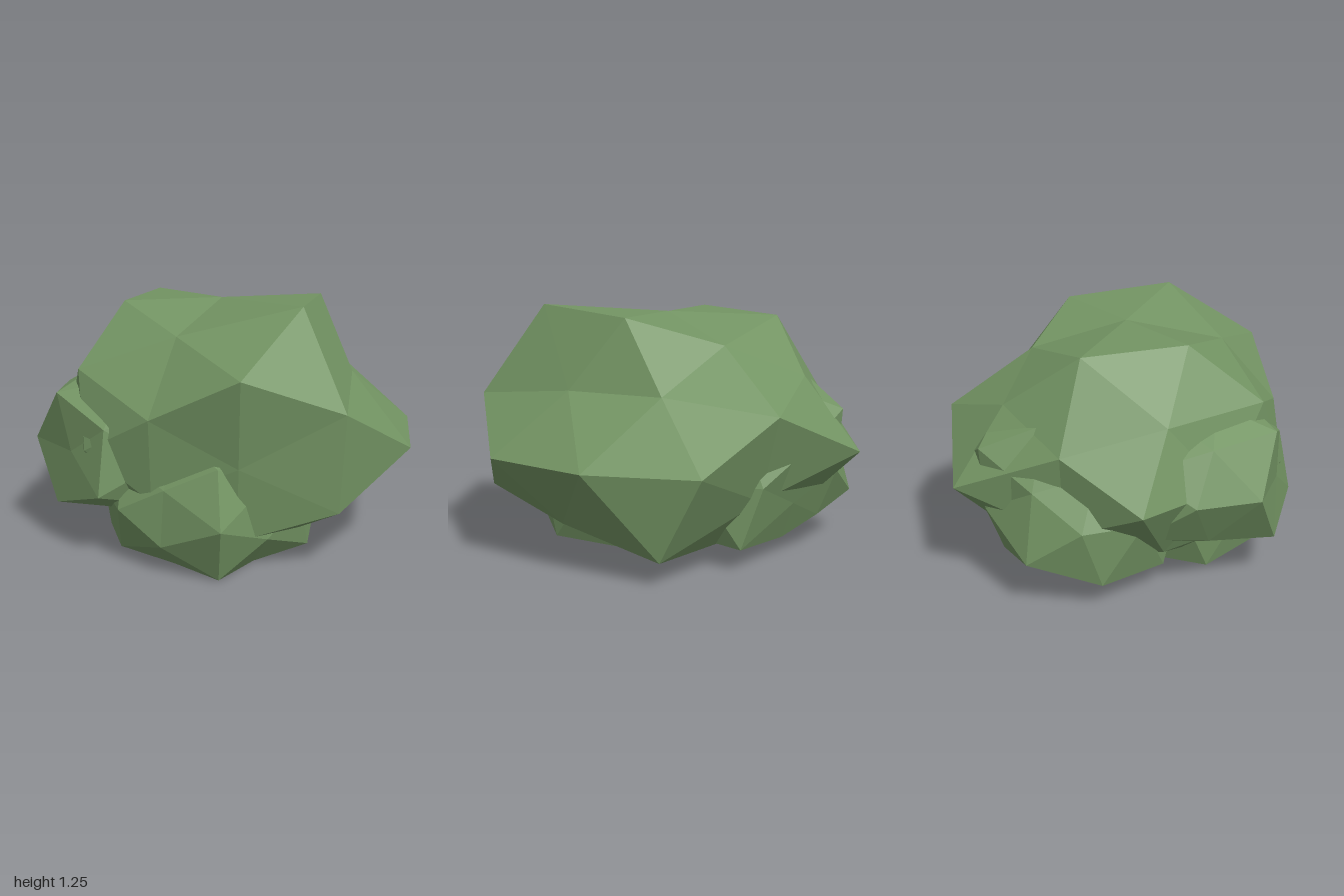
import * as THREE from 'three';

const leafGreen = new THREE.MeshStandardMaterial({ color: 0x739463, flatShading: true });
leafGreen.name = 'leafGreen';

// A faceted clump: a stretched icosphere with single corners pushed in or out and a flat base.
// Each bump is [direction x, y, z, factor].
function clump(name, centre, radii, floor, bumps) {
  const geo = new THREE.IcosahedronGeometry(1, 1);
  const pos = geo.attributes.position;
  const v = new THREE.Vector3(), d = new THREE.Vector3();
  const c = new THREE.Vector3(...centre), r = new THREE.Vector3(...radii);
  for (let i = 0; i < pos.count; i++) {
    v.fromBufferAttribute(pos, i).normalize();
    const bump = bumps.find(([x, y, z]) => d.set(x, y, z).normalize().dot(v) > 0.97);
    v.multiplyScalar(bump ? bump[3] : 1).multiply(r).add(c);
    pos.setXYZ(i, v.x, Math.max(v.y, floor), v.z);
  }
  geo.computeVertexNormals();
  const mesh = new THREE.Mesh(geo, leafGreen);
  mesh.name = name;
  return mesh;
}

export function createModel() {
  const bush = new THREE.Group();
  bush.name = 'bush';

  // Large crown
  bush.add(clump('mainClump', [-0.015, 0.54, 0.05], [1, 0.81, 1.03], 0.12, [
    [0, 1, 0, 0.82], [0.53, 0.85, 0, 0.98], [-0.53, 0.85, 0, 0.95],
    [0.81, 0.5, 0.31, 0.79], [0.81, 0.5, -0.31, 0.79],
    [0.31, 0.81, 0.5, 1.08], [0.31, 0.81, -0.5, 0.81],
    [-0.31, 0.81, 0.5, 0.84], [-0.31, 0.81, -0.5, 0.97],
    [0, 0.53, 0.85, 1.02], [0, 0.53, -0.85, 0.86],
    [0.5, 0.31, -0.81, 0.94], [-0.5, 0.31, 0.81, 0.82], [-0.5, 0.31, -0.81, 0.86],
    [-0.81, 0.5, 0.31, 0.91], [-0.81, 0.5, -0.31, 0.84],
    [0.85, 0, 0.53, 1.03], [0.85, 0, -0.53, 1.03],
    [-1, 0, 0, 0.8], [-0.85, 0, 0.53, 0.84], [-0.85, 0, -0.53, 0.97],
    [0, 0, 1, 0.8], [0, 0, -1, 1.02],
    [0.81, -0.5, -0.31, 1.07], [0.81, -0.5, 0.31, 0.85],
    [0.5, -0.31, 0.81, 0.96], [0.5, -0.31, -0.81, 0.8],
    [-0.5, -0.31, 0.81, 0.8], [-0.5, -0.31, -0.81, 0.82],
    [0, -0.53, 0.85, 0.88], [0, -0.53, -0.85, 0.8],
    [-0.81, -0.5, 0.31, 0.8], [-0.81, -0.5, -0.31, 0.8],
  ]));

  // Clump on the right side
  bush.add(clump('sideClump', [-0.36, 0.51, 0.14], [0.62, 0.56, 0.62], 0.22, [
    [-0.81, 0.5, -0.31, 0.9], [-0.53, 0.85, 0, 0.82],
    [-0.31, 0.81, 0.5, 0.8], [-0.31, 0.81, -0.5, 0.8],
    [-0.85, 0, 0.53, 0.83], [-0.85, 0, -0.53, 0.95],
    [-0.5, 0.31, 0.81, 0.88], [-0.5, -0.31, 0.81, 0.99],
    [-0.81, -0.5, 0.31, 1.03], [-0.81, -0.5, -0.31, 0.85],
    [0, 0.53, 0.85, 0.8], [0, 0, 1, 0.8], [0, -0.53, 0.85, 0.8],
  ]));

  // Low clump at the front
  bush.add(clump('frontClump', [-0.11, 0.28, 0.33], [0.62, 0.53, 0.67], 0, [
    [0, 0.53, 0.85, 0.93], [0.5, 0.31, 0.81, 0.75], [-0.5, 0.31, 0.81, 0.8],
    [0.31, 0.81, 0.5, 0.8], [-0.31, 0.81, 0.5, 0.8],
    [-0.85, 0, 0.53, 0.88], [0.85, 0, 0.53, 0.82],
    [-0.5, -0.31, 0.81, 0.86], [0.5, -0.31, 0.81, 0.8],
    [-0.81, -0.5, 0.31, 0.9], [0.81, -0.5, 0.31, 0.96],
    [-1, 0, 0, 0.85], [1, 0, 0, 0.92], [0, -0.53, 0.85, 0.99],
    [-0.81, 0.5, 0.31, 0.85],
  ]));

  // Low clump at the back
  bush.add(clump('backClump', [-0.08, 0.42, -0.36], [0.62, 0.55, 0.56], 0.09, [
    [0, 0.53, -0.85, 1.11], [0.5, 0.31, -0.81, 0.98], [-0.5, 0.31, -0.81, 0.9],
    [0, 0, -1, 0.9], [0.85, 0, -0.53, 1],
    [0.5, -0.31, -0.81, 0.78], [-0.5, -0.31, -0.81, 1.07],
    [-0.81, 0.5, -0.31, 0.88], [0, -0.53, -0.85, 0.85],
    [0.81, -0.5, -0.31, 1.12], [-0.81, -0.5, -0.31, 1.08], [-0.81, -0.5, 0.31, 1.08],
  ]));

  return bush;
}
